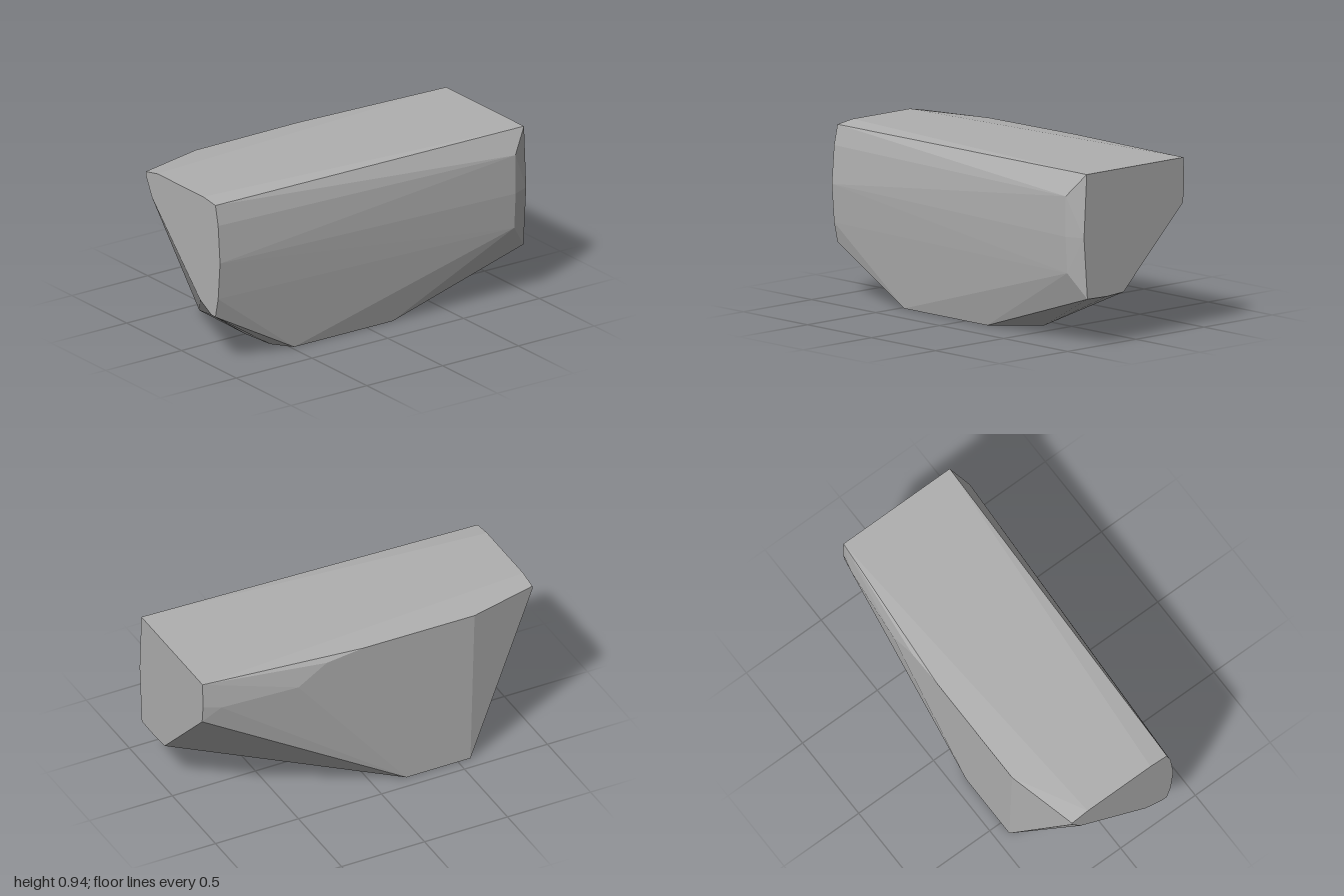
import * as THREE from 'three';
import { ConvexGeometry } from 'three/addons/geometries/ConvexGeometry.js';

// Outlines of the chiselled block; its facets are the convex hull between them.
const at = (axis, value, pairs) => pairs.map(([a, b]) =>
  axis === 'x' ? new THREE.Vector3(value, a, b)
    : axis === 'y' ? new THREE.Vector3(a, value, b)
      : new THREE.Vector3(a, b, value));

export function createModel() {
  const group = new THREE.Group();
  group.name = 'stoneBlock';
  const stone = new THREE.MeshStandardMaterial({ color: 0xb0b0b0 });
  stone.name = 'stone grey';

  // front end, (x, y)
  const front = at('z', 1, [
    [-0.325, 0.925], [-0.325, 0.905], [-0.27, 0.795], [0.17, 0.345],
    [0.275, 0.29], [0.31, 0.29], [0.335, 0.4], [0.352, 0.61],
    [0.335, 0.82], [0.31, 0.93], [0.2, 0.945], [-0.22, 0.945],
  ]);
  // back end, (x, y)
  const back = at('z', -1, [
    [-0.35, 0.945], [-0.355, 0.8], [-0.345, 0.7], [0.09, 0.27],
    [0.21, 0.262], [0.355, 0.265], [0.38, 0.6], [0.36, 0.945],
  ]);
  // underside, (x, z)
  const underside = at('y', 0, [
    [-0.425, 0.575], [0, 0.58], [0.2, 0.56], [0.31, 0.48],
    [0.31, -0.17], [0.09, -0.38], [-0.425, 0.19],
  ]);
  // flat -x side, (y, z)
  const flatSide = at('x', -0.425, [
    [0.925, 0.6], [0.93, -0.07], [0.905, -0.29], [0.8, -0.46],
  ]);
  // bevel around the back of the +x side, (x, y)
  const bevel = at('z', -0.9, [
    [0.42, 0.82], [0.422, 0.6], [0.41, 0.4], [-0.376, 0.78],
  ]);

  const geometry = new ConvexGeometry([
    ...front, ...back, ...underside, ...flatSide, ...bevel,
  ]);
  const block = new THREE.Mesh(geometry, stone);
  block.name = 'block';
  group.add(block);
  return group;
}
